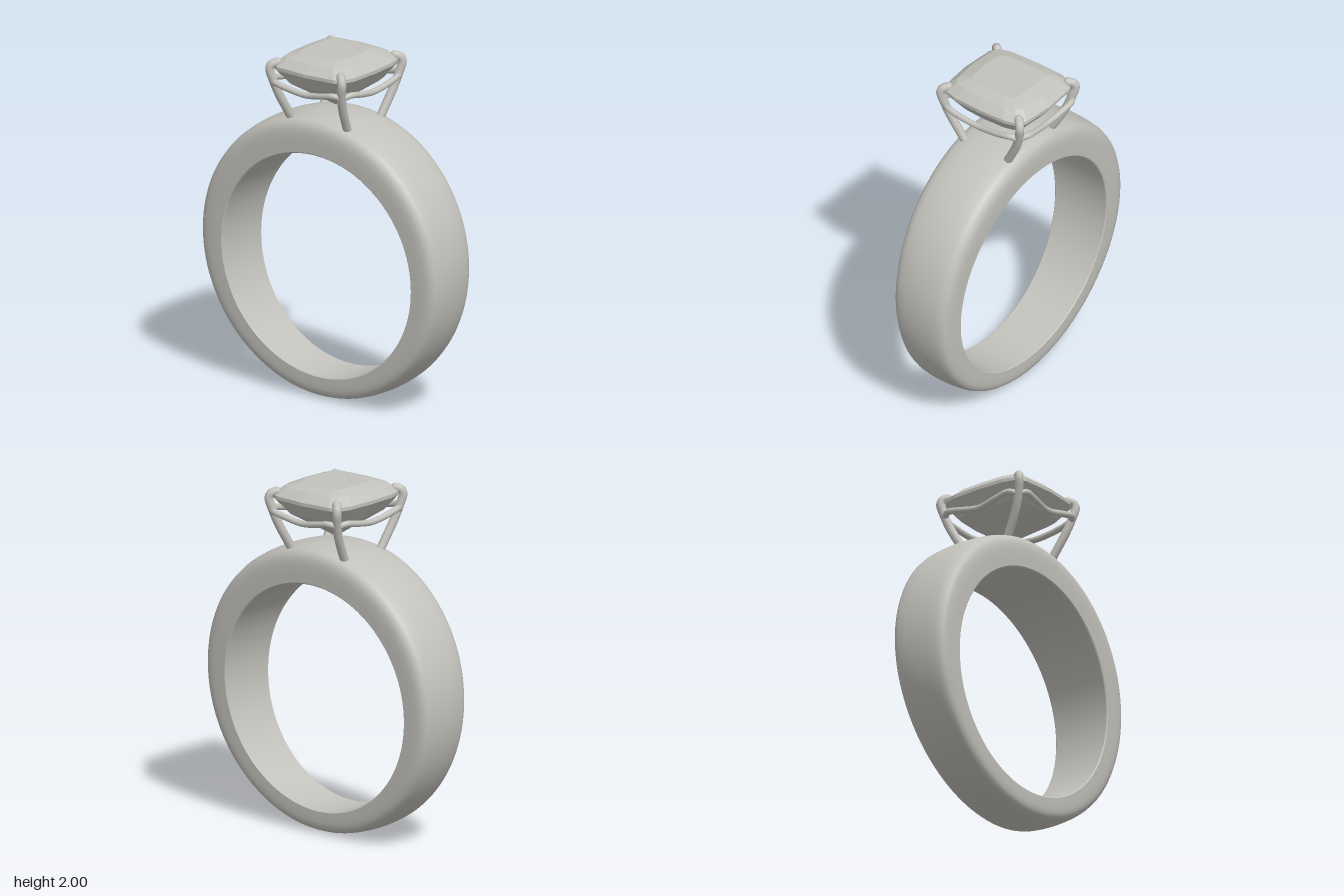
import * as THREE from 'three';

const metal = new THREE.MeshStandardMaterial({ color: 0xc3c1bb });
metal.name = 'warm grey';

// Surface from closed loops: i runs around (wrapping), j runs across
function loopGrid(nu, nv, point) {
  const pos = [], index = [];
  for (let i = 0; i < nu; i++) for (let j = 0; j < nv; j++) pos.push(...point(i, j));
  for (let i = 0; i < nu; i++) for (let j = 0; j < nv - 1; j++) {
    const a = i * nv + j, b = ((i + 1) % nu) * nv + j;
    index.push(a, b, b + 1, a, b + 1, a + 1);
  }
  const geo = new THREE.BufferGeometry();
  geo.setAttribute('position', new THREE.Float32BufferAttribute(pos, 3));
  geo.setIndex(index);
  geo.computeVertexNormals();
  return geo;
}

function add(parent, name, geo) {
  const mesh = new THREE.Mesh(geo, metal);
  mesh.name = name;
  parent.add(mesh);
}

// Band surface: section points are [radial fraction from hole to rim, width fraction]
function bandSurface(section) {
  const n = 128;
  return loopGrid(n, section.length, (i, j) => {
    const a = i / n * Math.PI * 2, s = Math.sin(a), c = Math.cos(a);
    const [t, w] = section[j];
    const x = s * THREE.MathUtils.lerp(0.652, 0.826, t);
    const y = THREE.MathUtils.lerp(0.788 + 0.652 * c, 0.828 + 0.826 * c, t);
    return [x, y, w * (0.143 + 0.05 * y)];
  });
}

function makeBand(group) {
  const half = [[0.03, 1], [0.3, 1], [0.52, 0.995], [0.68, 0.97], [0.8, 0.92],
    [0.885, 0.83], [0.94, 0.68], [0.975, 0.45], [0.993, 0.22], [1, 0]];
  const mirrored = half.slice(0, -1).reverse().map(([t, w]) => [t, -w]);
  add(group, 'bandOuter', bandSurface([...half, ...mirrored]));
  add(group, 'bandInner', bandSurface([[0, -0.97], [0, 0], [0, 0.97]]));
  // Narrow bevels around the hole
  add(group, 'bandBevelFront', bandSurface([[0, 0.97], [0.03, 1]]));
  add(group, 'bandBevelBack', bandSurface([[0.03, -1], [0, -0.97]]));
}

// Cushion-cut stone from scaled outlines, top to bottom
function makeStone(group) {
  const quarter = [[0.272, 0], [0.265, 0.17], [0.243, 0.25], [0.195, 0.282], [0, 0.297]];
  const outline = [
    ...quarter,
    ...quarter.slice(0, -1).reverse().map(([x, z]) => [-x, z]),
    ...quarter.slice(1).map(([x, z]) => [-x, -z]),
    ...quarter.slice(1, -1).reverse().map(([x, z]) => [x, -z]),
  ];
  const rings = [[0, 2], [0.565, 2], [0.82, 1.977], [1, 1.932], [1, 1.912], [0.76, 1.825], [0, 1.68]];
  const geo = loopGrid(outline.length, rings.length, (i, j) => {
    const [x, z] = outline[i], [s, y] = rings[j];
    return [x * s, y, z * s];
  }).toNonIndexed();
  geo.computeVertexNormals();
  add(group, 'stone', geo);
}

function tube(points, radius, steps) {
  const curve = new THREE.CatmullRomCurve3(points.map(p => new THREE.Vector3(...p)));
  return new THREE.TubeGeometry(curve, steps, radius, 12);
}

// Four claws holding the corners, each with a rounded tip
function makeProngs(group) {
  for (const sx of [1, -1]) for (const sz of [1, -1]) {
    const path = [[0.19, 1.58, 0.135], [0.202, 1.66, 0.18], [0.22, 1.76, 0.232], [0.238, 1.85, 0.264],
      [0.25, 1.91, 0.277], [0.243, 1.935, 0.27], [0.22, 1.948, 0.247]]
      .map(([x, y, z]) => [x * sx, y, z * sz]);
    const prong = new THREE.Group();
    prong.name = 'prong';
    add(prong, 'prongWire', tube(path, 0.025, 40));
    const tip = new THREE.SphereGeometry(0.025, 14, 10);
    tip.translate(...path[path.length - 1]);
    add(prong, 'prongTip', tip);
    group.add(prong);
  }
}

// Curved wires joining neighbouring claws
function makeGallery(group) {
  const front = [[0.24, 1.825, 0.255], [0.2, 1.84, 0.289], [0.13, 1.827, 0.289], [0, 1.806, 0.277]];
  const side = [[0.235, 1.825, 0.26], [0.265, 1.84, 0.215], [0.27, 1.827, 0.14], [0.26, 1.806, 0]];
  for (const s of [1, -1]) {
    const across = [...front, ...front.slice(0, -1).reverse().map(([x, y, z]) => [-x, y, z])];
    add(group, 'galleryWire', tube(across.map(([x, y, z]) => [x, y, z * s]), 0.018, 48));
    const along = [...side, ...side.slice(0, -1).reverse().map(([x, y, z]) => [x, y, -z])];
    add(group, 'gallerySideWire', tube(along.map(([x, y, z]) => [x * s, y, z]), 0.018, 48));
  }
}

export function createModel() {
  const ring = new THREE.Group();
  ring.name = 'ring';
  makeBand(ring);
  makeStone(ring);
  makeProngs(ring);
  makeGallery(ring);
  return ring;
}
